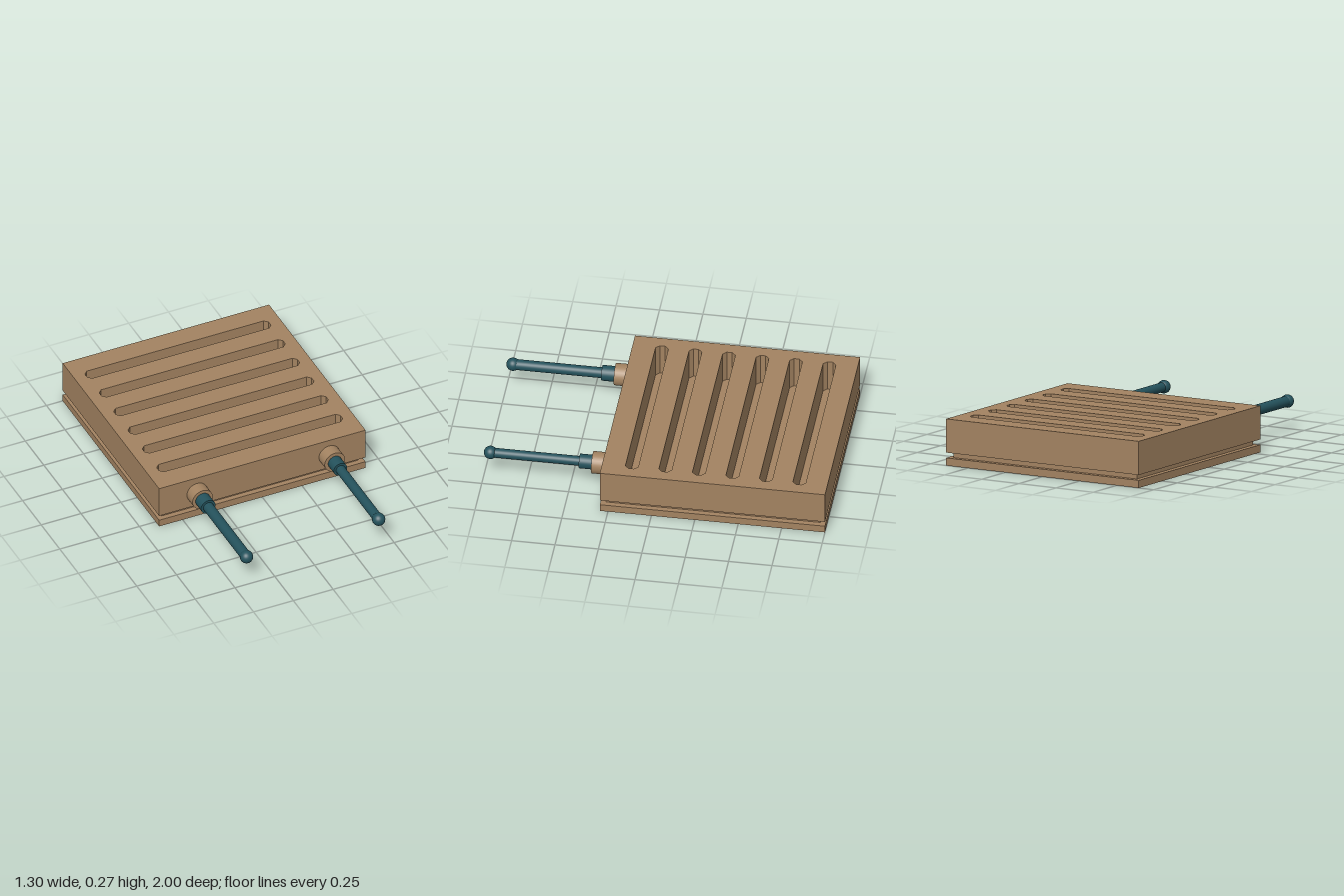
import * as THREE from 'three';

const tan = new THREE.MeshStandardMaterial({ color: 0xa38361 });
const teal = new THREE.MeshStandardMaterial({ color: 0x24525c });

function add(parent, name, geometry, material, x, y, z) {
  const mesh = new THREE.Mesh(geometry, material);
  mesh.name = name;
  mesh.position.set(x, y, z);
  parent.add(mesh);
  return mesh;
}

// Rectangular slab between two heights
function slab(parent, name, halfX, zBack, zFront, y0, y1) {
  const geometry = new THREE.BoxGeometry(halfX * 2, y1 - y0, zFront - zBack);
  return add(parent, name, geometry, tan, 0, (y0 + y1) / 2, (zBack + zFront) / 2);
}

// Cylinder lying along z
function barrel(parent, name, radius, z0, z1, material) {
  const geometry = new THREE.CylinderGeometry(radius, radius, z1 - z0, 32).rotateX(Math.PI / 2);
  return add(parent, name, geometry, material, 0, 0, (z0 + z1) / 2);
}

// Long slot outline with chamfered ends, centred on depth z
function slotPath(z) {
  const end = 0.577, r = 0.037, c = 0.0217;
  const corners = [
    [end, r - c], [end - c, r], [-end + c, r], [-end, r - c],
    [-end, c - r], [-end + c, -r], [end - c, -r], [end, c - r],
  ];
  return new THREE.Path(corners.map(([x, dz]) => new THREE.Vector2(x, dz - z)));
}

export function createModel() {
  const model = new THREE.Group();
  model.name = 'slottedPlatform';

  // Base plate and the recessed neck above it
  slab(model, 'basePlate', 0.648, -1, 0.297, 0, 0.044);
  slab(model, 'recessedNeck', 0.617, -0.969, 0.266, 0.044, 0.075);

  // Upper block with a row of slots (shape y becomes -z)
  const outline = new THREE.Shape([
    new THREE.Vector2(-0.648, -0.297), new THREE.Vector2(0.648, -0.297),
    new THREE.Vector2(0.648, 1), new THREE.Vector2(-0.648, 1),
  ]);
  for (let i = 0; i < 6; i++) outline.holes.push(slotPath(-0.838 + i * 0.193));
  const block = new THREE.ExtrudeGeometry(outline, { depth: 0.195, bevelEnabled: false });
  block.rotateX(-Math.PI / 2);
  add(model, 'slottedBlock', block, tan, 0, 0.075, 0);

  // Two front rods, each with a boss, collar and ball tip
  const rods = [
    { name: 'rightRod', x: -0.41, collar: 0.045, shaft: 0.031 },
    { name: 'leftRod', x: 0.42, collar: 0.042, shaft: 0.028 },
  ];
  for (const { name, x, collar, shaft } of rods) {
    const rod = new THREE.Group();
    rod.name = name;
    rod.position.set(x, 0.167, 0);
    barrel(rod, 'boss', 0.064, 0.29, 0.373, tan);
    barrel(rod, 'collar', collar, 0.36, 0.448, teal);
    barrel(rod, 'shaft', shaft, 0.44, 0.963, teal);
    add(rod, 'ballTip', new THREE.SphereGeometry(0.038, 32, 20), teal, 0, 0, 0.962);
    model.add(rod);
  }
  return model;
}
